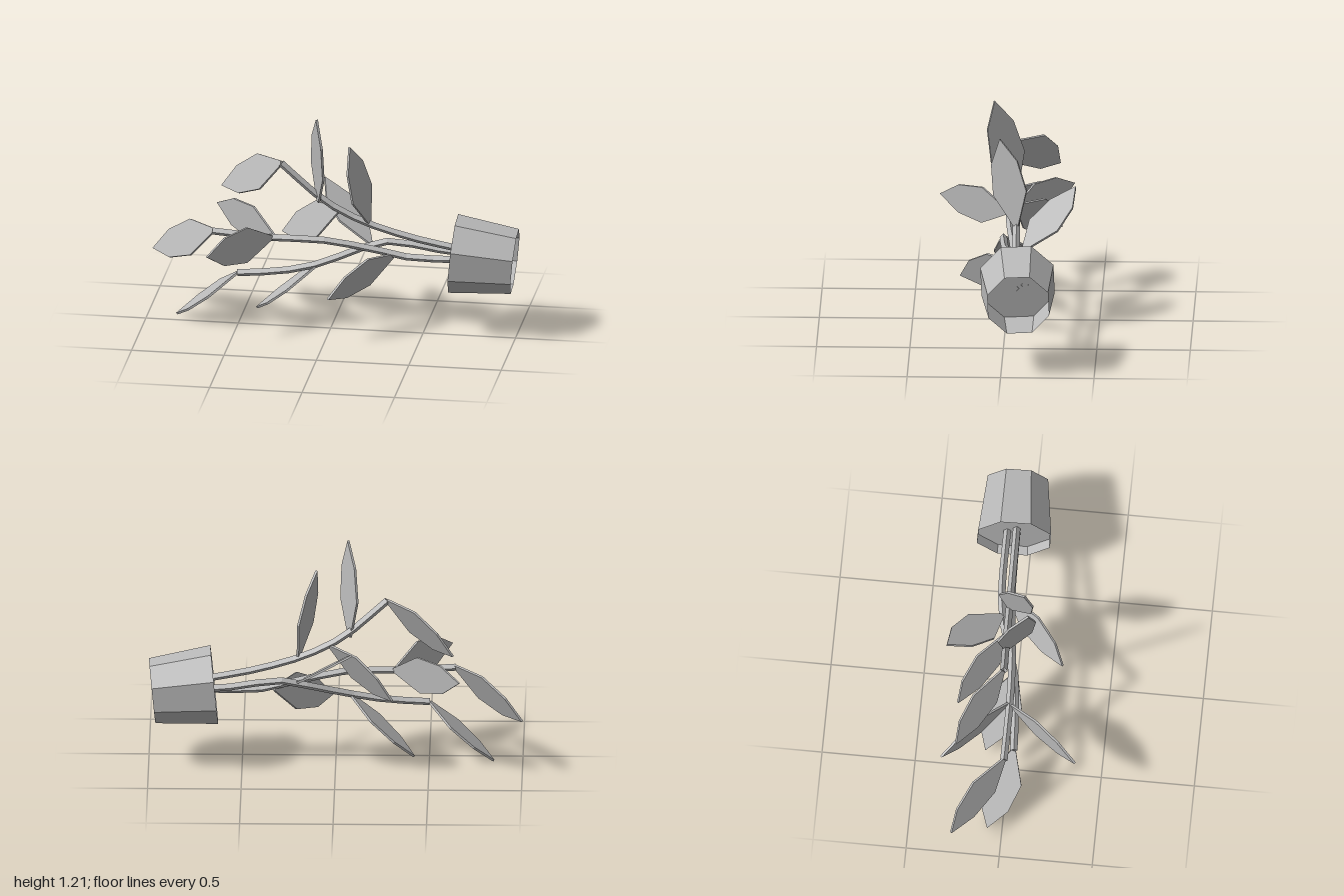
import * as THREE from 'three';

const V = (a) => new THREE.Vector3(...a);

export function createModel() {
  const group = new THREE.Group();
  const grey = new THREE.MeshStandardMaterial({ color: 0xbababa, flatShading: true, side: THREE.DoubleSide });
  grey.name = 'plain grey';

  const add = (name, geometry) => {
    const mesh = new THREE.Mesh(geometry, grey);
    mesh.name = name;
    group.add(mesh);
    return mesh;
  };

  // Tipped-over octagonal pot, open at both ends, with a recessed soil disc
  const rim = V([0.65, 0.435, -0.08]);
  const base = V([0.982, 0.403, -0.094]);
  const up = rim.clone().sub(base);
  const height = up.length();
  const tilt = new THREE.Quaternion().setFromUnitVectors(V([0, 1, 0]), up.clone().normalize());
  const pot = add('pot', new THREE.CylinderGeometry(0.212, 0.175, height, 8, 1, true, Math.PI / 8));
  pot.position.copy(rim).lerp(base, 0.5);
  pot.quaternion.copy(tilt);
  const soilShape = new THREE.CircleGeometry(0.206, 8, Math.PI / 8).rotateX(-Math.PI / 2);
  const soil = add('soil', soilShape);
  soil.position.copy(rim).lerp(base, 0.15);
  soil.quaternion.copy(tilt);

  // Three square stems growing out of the soil
  const stems = {
    upperStem: [[0.7, 0.465, -0.07], [0.42, 0.52, -0.065], [0.16, 0.6, -0.06], [-0.04, 0.705, -0.055], [-0.275, 0.91, -0.045]],
    middleStem: [[0.7, 0.405, -0.07], [0.41, 0.405, -0.065], [0.2, 0.45, -0.05], [-0.07, 0.495, -0.02], [-0.31, 0.495, -0.01], [-0.64, 0.515, -0.01]],
    lowerStem: [[0.7, 0.425, -0.12], [0.5, 0.445, -0.12], [0.33, 0.475, -0.115], [0.2, 0.45, -0.1], [-0.07, 0.36, -0.01], [-0.26, 0.32, 0.015], [-0.5, 0.3, 0.03]],
  };
  for (const [name, points] of Object.entries(stems)) {
    const curve = new THREE.CatmullRomCurve3(points.map(V));
    add(name, new THREE.TubeGeometry(curve, 9, 0.02, 4));
  }

  // Angular leaf outline of unit length, extruded to a thin plate
  const side = [[0.012, 0], [0.1, 0.38], [0.078, 0.73]];
  const outline = new THREE.Shape([
    ...side, [0, 1], ...side.map(([w, t]) => [-w, t]).reverse(),
  ].map(([w, t]) => new THREE.Vector2(w, t)));
  const thickness = 0.012;
  const leafShape = new THREE.ExtrudeGeometry(outline, { depth: thickness, bevelEnabled: false });
  leafShape.translate(0, 0, -thickness / 2);

  // Each leaf: base, tip, direction of its width
  const slanted = [-0.03, 0.12, -0.1];
  const flat = [-0.07, -0.06, 0.2];
  const leaves = [
    [[-0.075, 0.7, -0.05], [-0.065, 1.21, 0.065], [0.1, 0.04, 0.21]],
    [[0.2, 0.59, -0.06], [0.105, 1.05, 0.03], [-0.08, -0.04, 0.19]],
    [[-0.275, 0.91, -0.05], [-0.63, 0.68, -0.27], slanted],
    [[0.03, 0.65, -0.06], [-0.305, 0.43, -0.29], slanted],
    [[-0.635, 0.52, -0.01], [-1, 0.305, -0.26], slanted],
    [[-0.5, 0.3, 0.03], [-0.845, 0.006, -0.08], flat],
    [[-0.08, 0.35, 0], [-0.42, 0.047, -0.13], flat],
    [[-0.32, 0.5, 0], [-0.615, 0.505, 0.37], [0, 1, 0]],
    [[-0.31, 0.5, -0.02], [-0.665, 0.555, -0.345], [0, 1, 0]],
    [[0.2, 0.46, -0.1], [-0.09, 0.72, -0.37], [0.145, -0.045, -0.105]],
    [[0.33, 0.41, -0.07], [0.02, 0.255, 0.244], [0.02, 0.2, 0.08]],
  ];
  for (const [from, to, width] of leaves) {
    const y = V(to).sub(V(from));
    const length = y.length();
    y.normalize();
    const x = V(width);
    x.addScaledVector(y, -x.dot(y)).normalize();
    const z = x.clone().cross(y);
    const leaf = add('leaf', leafShape);
    leaf.quaternion.setFromRotationMatrix(new THREE.Matrix4().makeBasis(x, y, z));
    leaf.position.copy(V(from));
    leaf.scale.set(1, length, 1);
  }
  return group;
}
